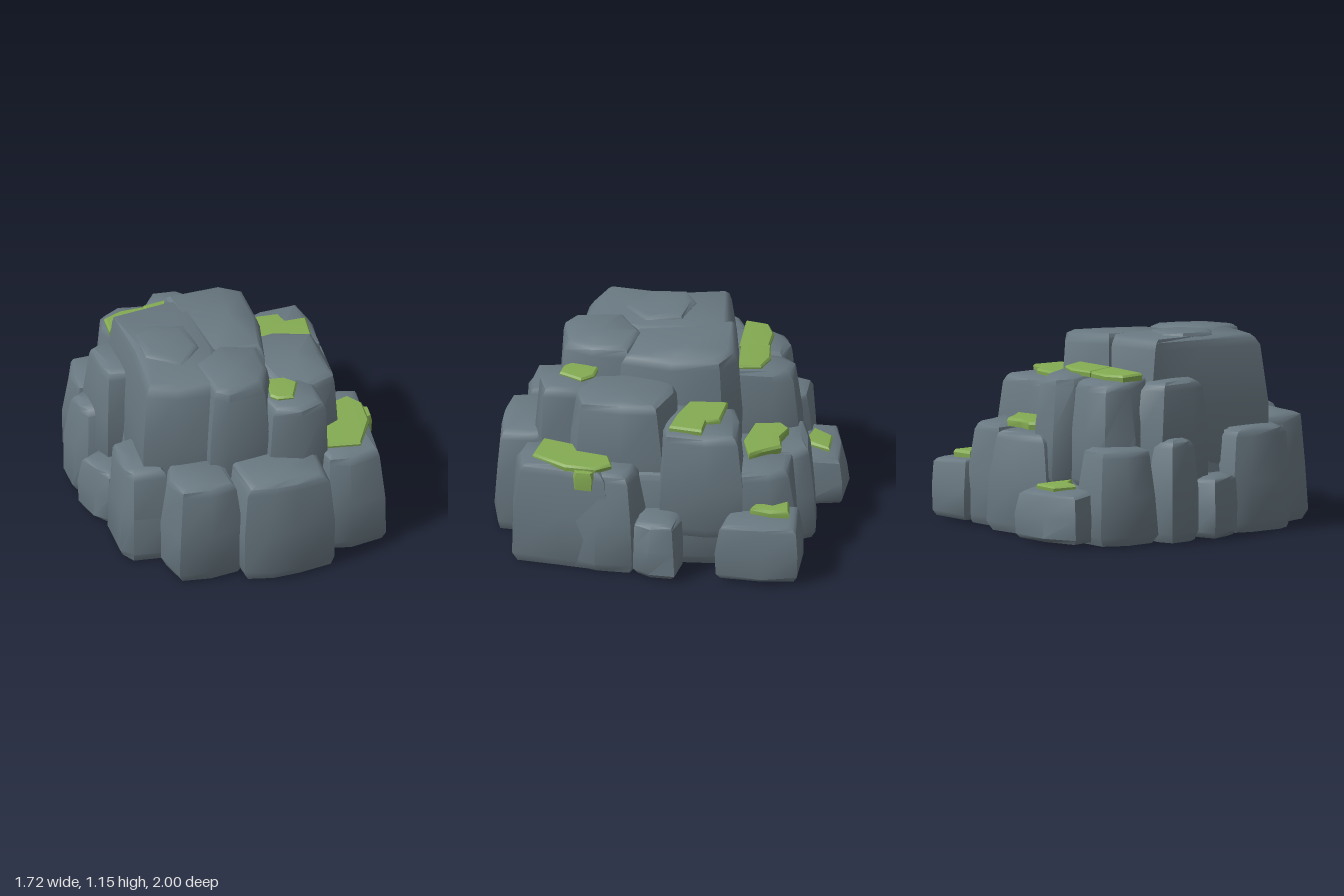
import * as THREE from 'three';
import { toCreasedNormals } from 'three/addons/utils/BufferGeometryUtils.js';

// Stacks rings of a footprint [x, z, x, z, ...] into a closed block.
// rings: [height fraction, inset towards the middle]; the top plane tilts by sx, sz.
function stack(flat, y0, y1, rings, sx, sz, crease, wobble) {
  let pts = [];
  for (let i = 0; i < flat.length; i += 2) pts.push(new THREE.Vector2(flat[i], flat[i + 1]));
  if (THREE.ShapeUtils.area(pts) > 0) pts = pts.reverse();
  const n = pts.length;
  const mid = pts.reduce((s, p) => s.add(p), new THREE.Vector2()).divideScalar(n);
  const levels = rings.map(([t, inset], k) => pts.map((p, i) => {
    const d = p.clone().sub(mid);
    const bump = wobble * Math.sin(i * 2.3 + k * 1.7 + mid.x * 9);
    d.setLength(Math.max(d.length() - inset + (k > 0 ? bump : 0), 0.01)).add(mid);
    const tilt = (d.x - mid.x) * sx + (d.y - mid.y) * sz;
    return [d.x, y0 + (y1 - y0) * t + tilt * t, d.y];
  }));
  const pos = [];
  const tri = (...corners) => corners.forEach((c) => pos.push(...c));
  const top = levels[levels.length - 1];
  for (let i = 0; i < n; i++) {
    const j = (i + 1) % n;
    for (let k = 0; k + 1 < levels.length; k++) {
      const a = levels[k], b = levels[k + 1];
      tri(a[i], a[j], b[j]);
      tri(a[i], b[j], b[i]);
    }
    tri(top[i], top[j], [mid.x, y1 + 0.004, mid.y]);
    tri(levels[0][j], levels[0][i], [mid.x, y0, mid.y]);
  }
  const geo = new THREE.BufferGeometry();
  geo.setAttribute('position', new THREE.Float32BufferAttribute(pos, 3));
  return toCreasedNormals(geo, crease);
}

export function createModel() {
  const group = new THREE.Group();
  const stone = new THREE.MeshStandardMaterial({ color: 0x697881 });
  stone.name = 'slate stone';
  const green = new THREE.MeshStandardMaterial({ color: 0x84ab52 });
  green.name = 'moss green';

  function add(name, geo, mat) {
    const mesh = new THREE.Mesh(geo, mat);
    mesh.name = name;
    group.add(mesh);
  }
  function rock(name, y0, y1, flat, taper = 0.05, sx = 0, sz = 0) {
    const rings = [[0, 0.035], [0.09, 0.005], [0.5, taper * 0.25], [0.92, taper * 0.85], [0.975, taper + 0.01], [1, taper + 0.045]];
    add(name, stack(flat, y0, y1, rings, sx, sz, 0.75, 0.008), stone);
  }
  function moss(name, y0, y1, flat, sx = 0, sz = 0) {
    add(name, stack(flat, y0, y1, [[0, 0.005], [0.7, 0], [1, 0.012]], sx, sz, 0.6, 0), green);
  }

  // Hidden heart of the pile with the flat underside
  rock('core', 0.01, 0.57, [-0.66, 0.45, -0.4, 0.7, 0.4, 0.72, 0.62, 0.4, 0.62, -0.4, 0.45, -0.66, -0.5, -0.7, -0.66, -0.4], 0.06);

  // Lower ring of boulders
  rock('frontRock', 0.01, 0.64, [-0.26, 0.6, -0.265, 0.92, -0.12, 0.98, 0.06, 1.0, 0.29, 0.97, 0.32, 0.75, 0.3, 0.58], 0.05, 0, -0.05);
  rock('frontLeftRock', 0.01, 0.63, [0.24, 0.4, 0.29, 0.83, 0.42, 0.88, 0.64, 0.86, 0.7, 0.6, 0.74, 0.3, 0.5, 0.25], 0.05);
  rock('frontRightRock', 0.01, 0.63, [-0.22, 0.5, -0.23, 0.84, -0.42, 0.86, -0.61, 0.81, -0.645, 0.6, -0.56, 0.45], 0.04);
  rock('rightFlankRock', 0.015, 0.61, [-0.55, 0.58, -0.78, 0.54, -0.83, 0.45, -0.81, 0.2, -0.76, 0.1, -0.5, 0.08], 0.055);
  rock('rightSmallRock', 0.015, 0.36, [-0.6, 0.16, -0.77, 0.14, -0.83, 0.05, -0.86, -0.12, -0.72, -0.17, -0.55, -0.12], 0.03);
  rock('rightRearRock', 0.015, 0.6, [-0.55, -0.1, -0.78, -0.16, -0.84, -0.25, -0.83, -0.42, -0.72, -0.46, -0.5, -0.42], 0.055);
  rock('backRightRock', 0.015, 0.56, [-0.74, -0.45, -0.74, -0.66, -0.65, -0.81, -0.42, -0.8, -0.3, -0.6, -0.4, -0.35], 0.05);
  rock('backRock', 0.015, 0.59, [-0.14, -0.5, -0.16, -0.78, 0.06, -0.85, 0.28, -0.85, 0.34, -0.74, 0.33, -0.45], 0.055);
  rock('backLeftRock', 0.015, 0.6, [0.26, -0.45, 0.29, -0.76, 0.55, -0.76, 0.63, -0.62, 0.66, -0.35, 0.4, -0.3], 0.05);
  rock('leftFlankRock', 0.015, 0.62, [0.4, 0.1, 0.42, 0.55, 0.69, 0.54, 0.76, 0.38, 0.77, 0.16, 0.6, 0.08], 0.07);
  rock('leftSmallRock', 0.02, 0.36, [0.5, 0.14, 0.76, 0.17, 0.83, 0.07, 0.84, -0.08, 0.68, -0.13, 0.5, -0.1], 0.03);

  // Loose rocks at the back
  rock('looseLeftRock', 0.03, 0.375, [0.53, -0.8, 0.83, -0.79, 0.86, -0.58, 0.81, -0.31, 0.61, -0.36, 0.5, -0.6], 0.03, -0.05);
  rock('looseBackRock', 0.03, 0.32, [-0.58, -0.93, -0.37, -1.0, -0.1, -0.98, -0.07, -0.77, -0.25, -0.65, -0.56, -0.7], 0.04, 0, 0.12);

  // Middle tier
  rock('rightShoulder', 0.3, 0.92, [-0.45, 0.02, -0.71, -0.03, -0.74, -0.15, -0.72, -0.4, -0.56, -0.46, -0.4, -0.3], 0.05);
  rock('rearShoulderRight', 0.3, 0.93, [-0.2, -0.3, -0.2, -0.66, -0.38, -0.72, -0.53, -0.67, -0.61, -0.5, -0.52, -0.25], 0.05, 0, 0.08);
  rock('rearShoulderLeft', 0.3, 0.94, [0.08, -0.3, 0.08, -0.6, 0.0, -0.74, -0.18, -0.76, -0.27, -0.66, -0.25, -0.3], 0.05, 0, 0.08);
  rock('leftShoulder', 0.2, 0.84, [0.16, 0.0, 0.2, -0.42, 0.38, -0.47, 0.64, -0.46, 0.67, -0.25, 0.62, 0.02, 0.4, 0.06], 0.045);
  rock('leftButtress', 0.3, 0.97, [0.05, -0.08, 0.3, -0.1, 0.55, 0.0, 0.56, 0.25, 0.5, 0.52, 0.3, 0.58, 0.1, 0.5], 0.055);
  rock('frontButtress', 0.3, 0.97, [-0.02, 0.4, 0.0, 0.68, 0.17, 0.77, 0.35, 0.72, 0.38, 0.5, 0.3, 0.38], 0.035);

  // Summit blocks
  rock('summitRight', 0.35, 1.13, [-0.69, 0.45, -0.63, 0.0, -0.59, -0.38, -0.1, -0.4, -0.05, 0.2, -0.22, 0.58, -0.5, 0.54], 0.07, -0.02, -0.04);
  rock('summitFront', 0.35, 1.12, [-0.34, 0.6, -0.25, 0.66, 0.02, 0.64, 0.14, 0.45, 0.14, 0.2, -0.1, 0.1, -0.35, 0.25], 0.055, -0.05, -0.05);
  rock('summitLeft', 0.35, 1.12, [-0.26, -0.4, 0.12, -0.43, 0.25, -0.33, 0.26, 0.0, 0.14, 0.3, -0.2, 0.25], 0.045, -0.06, -0.06);
  rock('summitCap', 0.9, 1.155, [-0.58, 0.15, -0.56, -0.1, -0.42, -0.16, -0.2, -0.08, -0.18, 0.18, -0.38, 0.32], 0.05, -0.03, -0.06);

  // Moss patches
  moss('frontLeftMoss', 0.615, 0.655, [0.34, 0.7, 0.42, 0.45, 0.5, 0.32, 0.63, 0.29, 0.685, 0.38, 0.66, 0.56, 0.53, 0.75]);
  moss('mossDrip', 0.52, 0.63, [0.64, 0.52, 0.7, 0.5, 0.715, 0.4, 0.66, 0.37]);
  moss('buttressMoss', 0.955, 0.992, [0.05, 0.56, 0.09, 0.4, 0.19, 0.42, 0.245, 0.49, 0.17, 0.62, 0.08, 0.6]);
  moss('leftShoulderMoss', 0.83, 0.872, [0.24, -0.13, 0.24, -0.35, 0.45, -0.32, 0.47, -0.24, 0.59, -0.22, 0.55, -0.03, 0.38, -0.07]);
  moss('rearMossRight', 0.925, 0.965, [-0.55, -0.4, -0.53, -0.53, -0.42, -0.57, -0.27, -0.55, -0.26, -0.38], 0, 0.06);
  moss('rearMossLeft', 0.93, 0.968, [-0.28, -0.39, -0.28, -0.56, -0.13, -0.57, -0.02, -0.52, 0.0, -0.39], 0, 0.06);
  moss('backMoss', 0.59, 0.64, [0.05, -0.49, 0.04, -0.64, 0.1, -0.69, 0.21, -0.65, 0.32, -0.66, 0.38, -0.55, 0.43, -0.48, 0.25, -0.44]);
  moss('looseLeftMoss', 0.365, 0.42, [0.57, -0.72, 0.7, -0.73, 0.7, -0.62, 0.66, -0.5, 0.6, -0.53, 0.62, -0.64]);
  moss('looseBackMoss', 0.31, 0.35, [-0.43, -0.8, -0.36, -0.91, -0.2, -0.9, -0.24, -0.8, -0.3, -0.71, -0.34, -0.77], 0, 0.1);

  return group;
}
